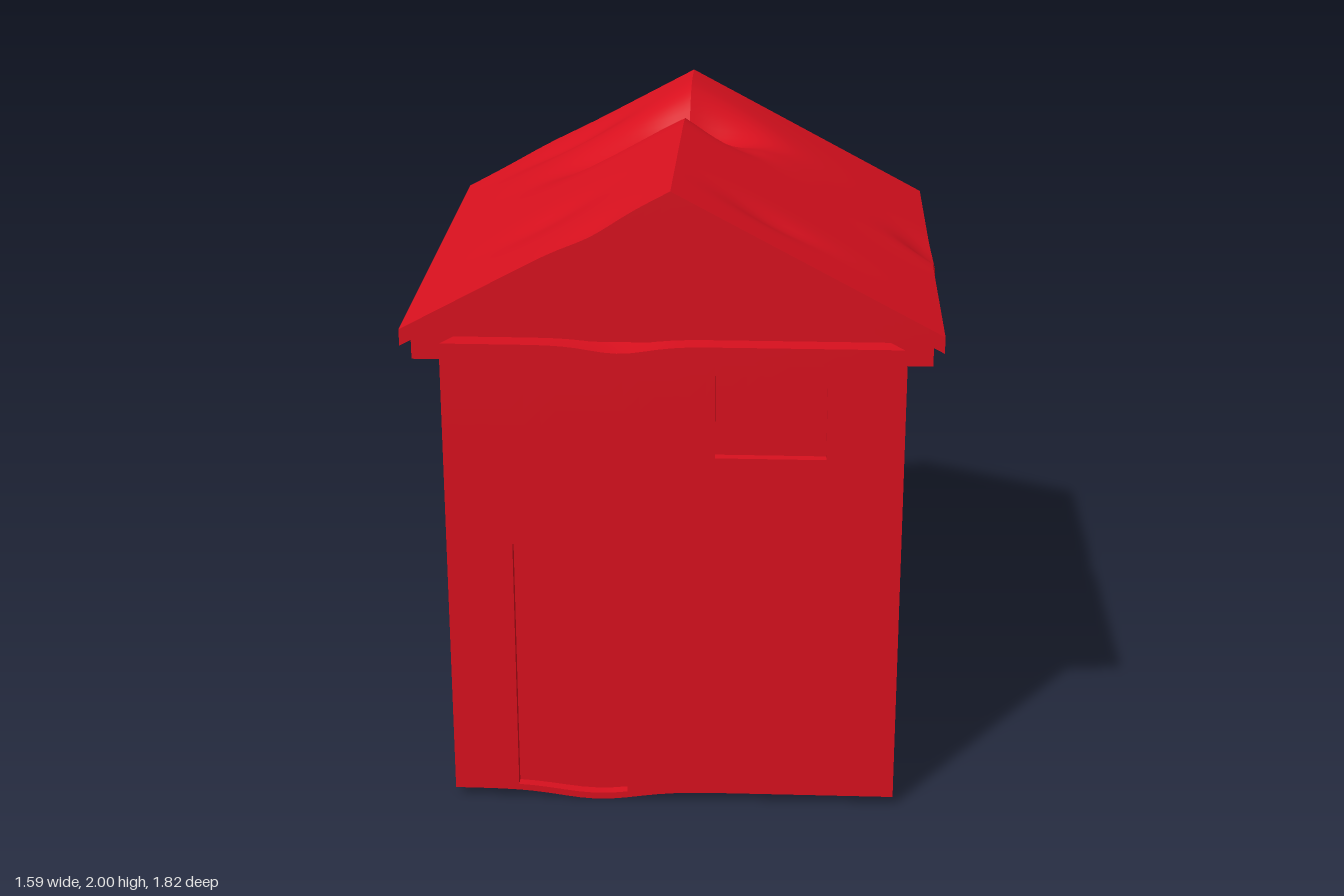
import * as THREE from 'three';
import { mergeGeometries, toCreasedNormals } from 'three/addons/utils/BufferGeometryUtils.js';

const V = (x, y, z) => new THREE.Vector3(x, y, z);
const material = new THREE.MeshStandardMaterial({ color: 0xd8101e });
const CX = -0.015; // ridge line
const SLOPE = 0.535;

// Dents: centre, radii, offset
const DENTS = [
  [[0, 1.95, -0.25], [0.2, 0.3, 0.13], [0, -0.14, 0]],
  [[-0.25, 1.85, -0.15], [0.2, 0.25, 0.12], [0, -0.06, 0]],
  [[0.12, 1.92, -0.05], [0.12, 0.2, 0.1], [0, -0.03, 0]],
  [[-0.4, 1.78, -0.5], [0.2, 0.2, 0.07], [0, -0.025, 0]],
  [[-0.4, 1.78, 0.5], [0.15, 0.2, 0.1], [0, -0.015, 0]],
  [[0.27, 1.85, 0.65], [0.15, 0.2, 0.07], [0, -0.02, 0]],
  [[-0.5, 1.7, -0.66], [0.14, 0.12, 0.1], [0, 0, -0.03]],
  [[0.78, 1.52, 0.07], [0.12, 0.12, 0.08], [0.02, -0.07, 0]],
  [[-0.17, 1.5, 0.88], [0.12, 0.06, 0.1], [0, -0.03, 0]],
  [[-0.2, 1.8, 0.9], [0.1, 0.1, 0.1], [0, -0.03, 0]],
  [[0.67, 1.3, 0.17], [0.1, 0.2, 0.08], [0, 0.05, 0]],
  [[0.67, 1.3, -0.02], [0.1, 0.2, 0.08], [0, -0.025, 0]],
  [[-0.25, 0.03, 0.82], [0.17, 0.1, 0.12], [0, -0.03, 0]],
  [[-0.51, 0.88, -0.78], [0.1, 0.15, 0.09], [0, -0.075, 0]],
  [[0.2, 1, -0.91], [0.15, 0.2, 0.15], [0, 0.02, 0]],
];

function dent(geometry) {
  const p = geometry.attributes.position;
  for (let i = 0; i < p.count; i++) {
    const a = [p.getX(i), p.getY(i), p.getZ(i)];
    const out = a.slice();
    for (const [c, r, d] of DENTS) {
      const w = Math.exp(-a.reduce((s, v, k) => s + ((v - c[k]) / r[k]) ** 2, 0));
      for (let k = 0; k < 3; k++) out[k] += d[k] * w;
    }
    p.setXYZ(i, ...out);
  }
  return geometry;
}

function part(name, geometry) {
  const mesh = new THREE.Mesh(toCreasedNormals(dent(geometry), 0.6), material);
  mesh.name = name;
  return mesh;
}

// Grid lines along a length, including the edges of openings
function lines(length, extra) {
  const n = Math.max(1, Math.ceil(length / 0.05));
  const all = Array.from({ length: n + 1 }, (_, i) => (length * i) / n).concat(extra);
  return all.sort((a, b) => a - b).filter((v, i) => i === 0 || v - all[i - 1] > 1e-5);
}

// Subdivided rectangle facing u x v; holes are [u0, u1, v0, v1] with reveals
function panel(o, u, v, holes = [], depth = 0.03, through = false) {
  const du = u.clone().normalize(), dv = v.clone().normalize();
  const inward = du.clone().cross(dv).multiplyScalar(-depth);
  const at = (a, b) => o.clone().addScaledVector(du, a).addScaledVector(dv, b);
  const us = lines(u.length(), holes.flatMap(h => [h[0], h[1]]));
  const vs = lines(v.length(), holes.flatMap(h => [h[2], h[3]]));
  const pos = [];
  for (let i = 0; i < us.length - 1; i++) for (let j = 0; j < vs.length - 1; j++) {
    const mu = (us[i] + us[i + 1]) / 2, mv = (vs[j] + vs[j + 1]) / 2;
    if (holes.some(h => mu > h[0] && mu < h[1] && mv > h[2] && mv < h[3])) continue;
    const a = at(us[i], vs[j]), b = at(us[i + 1], vs[j]);
    const c = at(us[i + 1], vs[j + 1]), d = at(us[i], vs[j + 1]);
    for (const q of [a, b, c, a, c, d]) pos.push(q.x, q.y, q.z);
  }
  const g = new THREE.BufferGeometry();
  g.setAttribute('position', new THREE.Float32BufferAttribute(pos, 3));
  const pieces = [g];
  for (const [u0, u1, v0, v1] of holes) {
    const c = [at(u0, v0), at(u1, v0), at(u1, v1), at(u0, v1)];
    if (depth > 0) c.forEach((p, i) => pieces.push(panel(p, c[(i + 1) % 4].clone().sub(p), inward)));
    if (!through) pieces.push(panel(c[0].clone().add(inward), c[1].clone().sub(c[0]), c[3].clone().sub(c[0])));
  }
  return mergeGeometries(pieces);
}

// Subdivided box from min and max corners
function box(x0, x1, y0, y1, z0, z1, step = 0.04) {
  const n = l => Math.max(1, Math.ceil(l / step));
  const w = x1 - x0, h = y1 - y0, d = z1 - z0;
  return new THREE.BoxGeometry(w, h, d, 2 * n(w / 2), n(h), n(d))
    .translate((x0 + x1) / 2, (y0 + y1) / 2, (z0 + z1) / 2);
}

// Board folded along the ridge
function foldedBoard(half, top, thick, z0, z1) {
  const g = box(CX - half, CX + half, top - thick, top, z0, z1, 0.025);
  const p = g.attributes.position;
  for (let i = 0; i < p.count; i++) p.setY(i, p.getY(i) - SLOPE * Math.abs(p.getX(i) - CX));
  return g;
}

export function createModel() {
  const house = new THREE.Group();
  house.name = 'house';

  // Walls with recessed doors and windows
  const L = -0.7, R = 0.67, F = 0.82, B = -0.56, Y = 0.03, H = 1.47;
  const W = R - L, D = F - B;
  house.add(
    part('frontWall', panel(V(L, Y, F), V(W, 0, 0), V(0, H, 0),
      [[0.2, 0.54, 0.02, 0.84], [0.81, 1.14, 1.13, 1.39]])),
    part('backWall', panel(V(R, Y, B), V(-W, 0, 0), V(0, H, 0), [[0.23, 0.55, 0.89, 1.39]])),
    part('leftWall', panel(V(R, Y, F), V(0, 0, -D), V(0, H, 0), [[0.45, 1.07, 1.13, 1.38]])),
    part('rightWall', panel(V(L, Y, B), V(0, 0, D), V(0, H, 0))),
    part('base', panel(V(L, Y, B), V(W, 0, 0), V(0, 0, D))),
  );

  // Gable, roof layers and the trim board below them
  const triangle = new THREE.Shape([
    new THREE.Vector2(CX - 0.7, 1.52), new THREE.Vector2(CX + 0.7, 1.52), new THREE.Vector2(CX, 1.9)]);
  const gable = new THREE.ExtrudeGeometry(triangle, { depth: 0.02, bevelEnabled: false });
  house.add(
    part('frontGable', gable.clone().translate(0, 0, F - 0.02)),
    part('backGable', gable.clone().translate(0, 0, B)),
    part('roof', foldedBoard(0.785, 2, 0.05, -0.655, 0.91)),
    part('roofTrim', foldedBoard(0.755, 1.95, 0.06, -0.63, 0.885)),
    part('eaveBoard', box(CX - 0.755, CX + 0.755, 1.482, 1.53, -0.63, 0.885)),
  );

  // Balcony floor with a broken hole
  const balcony = new THREE.Group();
  balcony.name = 'balcony';
  const x0 = -0.7, x1 = 0.52, z0 = -0.91, y0 = 0.87, t = 0.05;
  const w = x1 - x0, d = B - z0;
  balcony.add(part('balconyFloor', mergeGeometries([
    panel(V(x0, y0 + t, B), V(w, 0, 0), V(0, 0, -d), [[0.15, 0.22, 0.16, 0.27]], t, true),
    panel(V(x0, y0, z0), V(w, 0, 0), V(0, 0, d), [[0.15, 0.22, d - 0.27, d - 0.16]], 0, true),
    panel(V(x1, y0, z0), V(-w, 0, 0), V(0, t, 0)),
    panel(V(x1, y0, B), V(0, 0, -d), V(0, t, 0)),
    panel(V(x0, y0, z0), V(0, 0, d), V(0, t, 0)),
  ])));

  // Railing
  const r = 0.018;
  balcony.add(part('frontRail', box(x0, x1, 1.1, 1.1 + r, z0, z0 + r)));
  for (const x of [x0, x1 - r]) {
    balcony.add(
      part('sideRail', box(x, x + r, 1.1, 1.1 + r, z0 + r, B)),
      part('railPost', box(x, x + r, 0.91, 1.1, z0, z0 + r)),
    );
  }
  house.add(balcony);
  return house;
}
